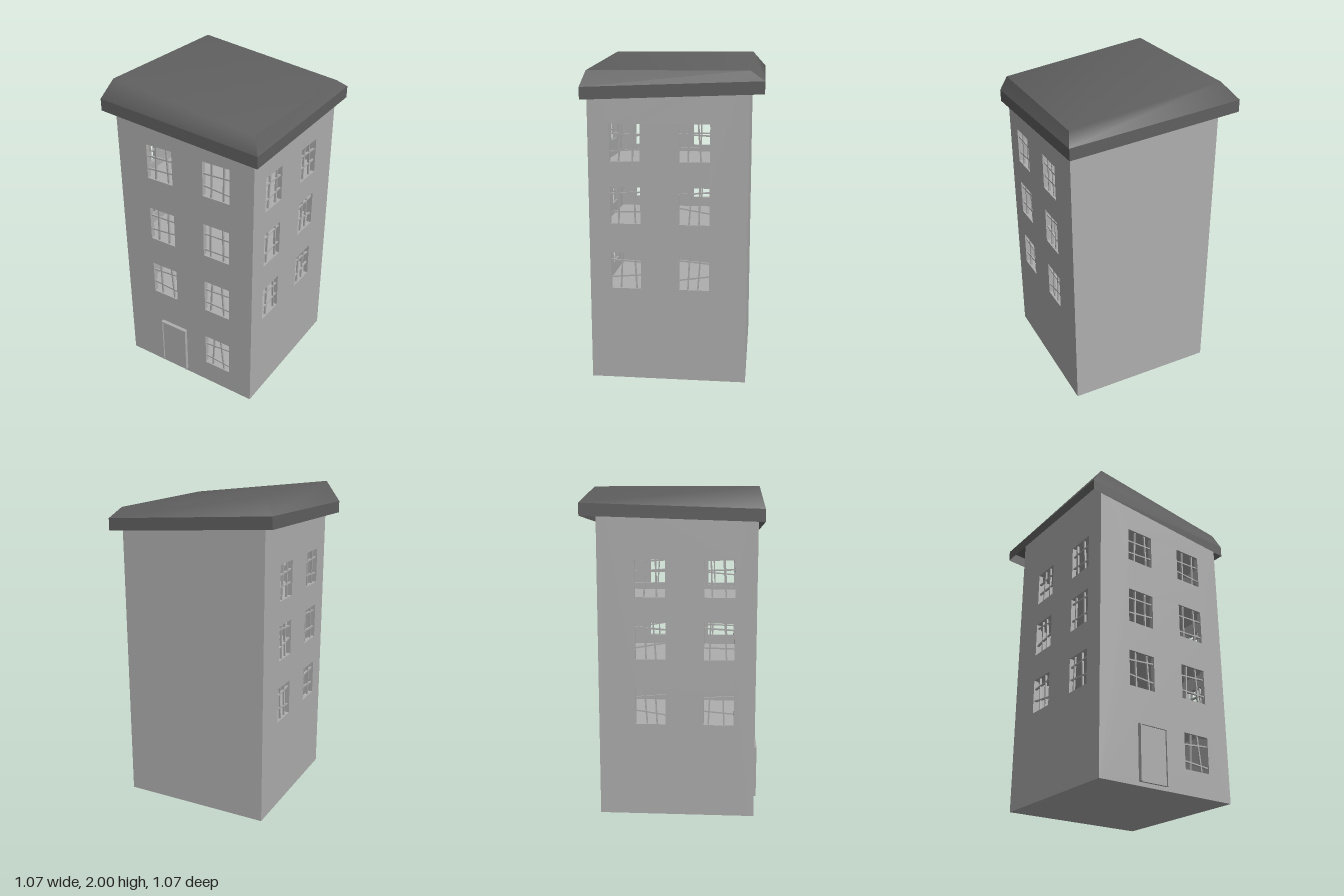
import * as THREE from 'three';

const wallGrey = new THREE.MeshStandardMaterial({ color: 0xaeaeae });
const roofGrey = new THREE.MeshStandardMaterial({ color: 0x606060, side: THREE.DoubleSide });
const X0 = -0.455, X1 = 0.495, Z0 = -0.45, Z1 = 0.5; // outer faces of the walls
const T = 0.03;                                      // wall thickness
const W = 0.182, H = 0.222;                          // window opening
const HIGH = 2, LOW = 1.885;                         // roof top at its two ends

// Each window: left edge, sill height, then the crooked bars in percent of the opening:
// two uprights (top, bottom, top, bottom) and two crossbars (left, right, left, right).
const frontWindows = [
  [-0.244, 1.42, 34, 28, 74, 80, 64, 67, 26, 31],
  [0.153, 1.42, 31, 28, 77, 74, 64, 67, 29, 21],
  [-0.244, 0.99, 31, 28, 71, 71, 74, 76, 29, 36],
  [0.153, 1.008, 23, 23, 71, 74, 67, 69, 17, 19],
  [-0.244, 0.578, 28, 31, 74, 83, 74, 81, 33, 26],
  [0.153, 0.592, 28, 20, 66, 74, 69, 74, 26, 24],
  [0.153, 0.153, 34, 26, 60, 74, 69, 76, 24, 17],
];
const sideWindows = [
  [-0.371, 1.356, 38, 29, 79, 74, 74, 71, 26, 33],
  [0.043, 1.356, 32, 29, 62, 71, 74, 69, 36, 36],
  [-0.371, 0.98, 32, 26, 79, 82, 81, 86, 31, 33],
  [0.043, 0.98, 41, 32, 68, 65, 81, 88, 45, 31],
  [-0.371, 0.578, 38, 32, 79, 85, 79, 74, 31, 38],
  [0.043, 0.578, 35, 29, 71, 62, 81, 74, 26, 38],
];

function add(parent, name, geometry, x = 0, y = 0, z = 0, material = wallGrey) {
  const mesh = new THREE.Mesh(geometry, material);
  mesh.name = name;
  mesh.position.set(x, y, z);
  parent.add(mesh);
  return mesh;
}

// Thin straight bar between two points of the wall plane
function bar(parent, ax, ay, bx, by) {
  const length = Math.hypot(bx - ax, by - ay);
  const mesh = add(parent, 'windowBar', new THREE.BoxGeometry(length, 0.009, 0.012), (ax + bx) / 2, (ay + by) / 2, T / 2);
  mesh.rotation.z = Math.atan2(by - ay, bx - ax);
}

const path = (Type, points) => new Type(points.map(p => new THREE.Vector2(...p)));

// Wall from u0 to u1 with a slanted top, window openings and their bars
function wall(name, u0, u1, top0, top1, windows) {
  const group = new THREE.Group();
  group.name = name;
  const shape = path(THREE.Shape, [[u0, 0], [u1, 0], [u1, top1], [u0, top0]]);
  for (const [u, y, a, b, c, d, e, f, g, h] of windows) {
    shape.holes.push(path(THREE.Path, [[u, y], [u, y + H], [u + W, y + H], [u + W, y]]));
    for (const [top, bottom] of [[a, b], [c, d]])
      bar(group, u + W * bottom / 100, y, u + W * top / 100, y + H);
    for (const [left, right] of [[e, f], [g, h]])
      bar(group, u, y + H * left / 100, u + W, y + H * right / 100);
  }
  add(group, name + 'Panel', new THREE.ExtrudeGeometry(shape, { depth: T, bevelEnabled: false }));
  return group;
}

// Surface of four-cornered faces; corners shared by index are shaded smoothly
function quads(points, faces) {
  const geometry = new THREE.BufferGeometry();
  geometry.setAttribute('position', new THREE.Float32BufferAttribute(points.flat(), 3));
  geometry.setIndex(faces.flatMap(([a, b, c, d]) => [a, b, c, a, c, d]));
  geometry.computeVertexNormals();
  return geometry;
}

// Roof open below: tilted top with sloping rims above an upright eave band
function roof() {
  const group = new THREE.Group();
  group.name = 'roof';
  const eave = [[-0.535, 0.535], [0.533, 0.535], [0.533, -0.535], [-0.535, -0.535]]
    .map(([x, z]) => [x, 1.775 - 0.075 * x - 0.033 * z, z]);
  const band = eave.map(([x, y, z]) => [x, y + 0.073, z]);
  const top = [[X0, HIGH, Z1], [X1, LOW, Z1], [X1, LOW, Z0], [X0, HIGH, Z0]];

  // Top with smooth front, back and right rims; the front left corner stays sharp
  add(group, 'roofTop', quads([...top, ...band, band[0]],
    [[0, 1, 2, 3], [8, 5, 1, 0], [6, 7, 3, 2], [7, 4, 0, 3]]), 0, 0, 0, roofGrey);
  // Sharp rim on the low side
  add(group, 'roofRim', quads([band[1], band[2], top[2], top[1]], [[0, 1, 2, 3]]), 0, 0, 0, roofGrey);
  // Eave band
  for (let i = 0; i < 4; i++) {
    const j = (i + 1) % 4;
    add(group, 'eaveBand', quads([eave[i], eave[j], band[j], band[i]], [[0, 1, 2, 3]]), 0, 0, 0, roofGrey);
  }
  return group;
}

export function createModel() {
  const model = new THREE.Group();
  model.name = 'house';
  const gap = 0.012; // wall tops end just under the roof

  // Front and back walls
  const front = wall('frontWall', X0, X1, HIGH - gap, LOW - gap, frontWindows);
  front.position.z = Z1 - T;
  const back = wall('backWall', X0, X1, HIGH - gap, LOW - gap, []);
  back.position.z = Z0;
  model.add(front, back);

  // Side walls, fitted between front and back
  for (const [name, x, top] of [['leftWall', X1 - T, LOW], ['rightWall', X0, HIGH]]) {
    const side = wall(name, -(Z1 - T), -(Z0 + T), top - gap, top - gap, sideWindows);
    side.rotation.y = Math.PI / 2;
    side.position.x = x;
    model.add(side);
  }

  // Storey floors and the top ceiling
  for (const y of [0.015, 0.48, 0.9, 1.295, 1.69])
    add(model, 'floor', new THREE.BoxGeometry(X1 - X0 - 2 * T, T, Z1 - Z0 - 2 * T), (X0 + X1) / 2, y, (Z0 + Z1) / 2);

  model.add(roof());

  // Door leaf with a slim raised frame
  const door = new THREE.Group();
  door.name = 'door';
  add(door, 'doorLeaf', new THREE.BoxGeometry(0.18, 0.325, 0.014), -0.093, 0.1865, Z1 + 0.007);
  for (const x of [-0.186, 0])
    add(door, 'doorJamb', new THREE.BoxGeometry(0.008, 0.325, 0.024), x, 0.1865, Z1 + 0.012);
  add(door, 'doorLintel', new THREE.BoxGeometry(0.194, 0.008, 0.024), -0.093, 0.353, Z1 + 0.012);
  model.add(door);

  return model;
}
